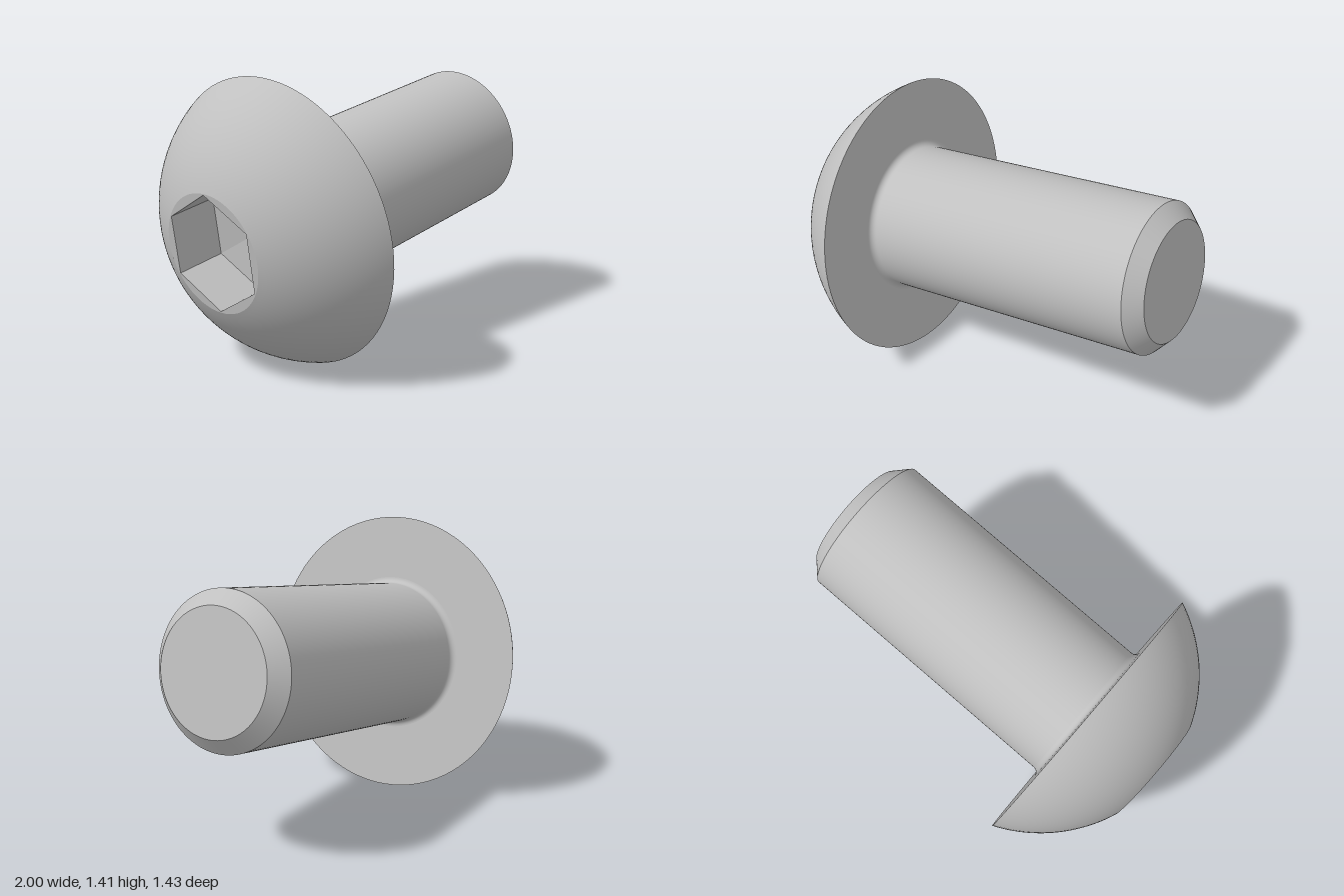
import * as THREE from 'three';

const HEAD_R = 0.716, HEAD_H = 0.417, FLAT_R = 0.29, HEX_R = 0.284;
const SHANK_R = 0.369, FILLET = 0.03, LENGTH = 1.511, CHAMFER = 0.074;

export function createModel() {
  const steel = new THREE.MeshStandardMaterial({ color: 0xc0c0c0 });
  steel.name = 'plain steel';

  // Local frame: +y runs along the screw to its tip, y = 0 is the underside of the head
  const screw = new THREE.Group();
  screw.name = 'screw';
  const add = (name, geometry) => {
    const mesh = new THREE.Mesh(geometry, steel);
    mesh.name = name;
    screw.add(mesh);
  };
  const turned = (name, points) =>
    add(name, new THREE.LatheGeometry(points.map(([r, y]) => new THREE.Vector2(r, y)), 96));
  const arc = (cr, cy, radius, from, to, n) => Array.from({ length: n + 1 }, (_, i) => {
    const a = from + (to - from) * i / n;
    return [cr + radius * Math.cos(a), cy + radius * Math.sin(a)];
  });

  // Domed head: a sphere zone centred on the axis, from the flat top to the rim
  const c = (HEAD_R ** 2 - FLAT_R ** 2 - HEAD_H ** 2) / (2 * HEAD_H);
  turned('headDome', arc(0, c, Math.hypot(HEAD_R, c),
    Math.atan2(-HEAD_H - c, FLAT_R), Math.atan2(-c, HEAD_R), 24));

  // Flat top of the head with the hexagonal opening
  const top = new THREE.Shape().absarc(0, 0, FLAT_R, 0, Math.PI * 2);
  const hex = new THREE.Path();
  hex.setFromPoints(Array.from({ length: 6 }, (_, i) => {
    const a = -i * Math.PI / 3;
    return new THREE.Vector2(HEX_R * Math.sin(a), HEX_R * Math.cos(a));
  }));
  hex.closePath();
  top.holes.push(hex);
  add('headTop', new THREE.ShapeGeometry(top, 48).rotateX(Math.PI / 2));
  screw.children[screw.children.length - 1].position.y = -HEAD_H;

  // Socket floor and its six walls, facing inward
  const floorY = -HEAD_H + 0.261;
  const socket = new THREE.LatheGeometry([
    new THREE.Vector2(0, floorY + 0.04),
    new THREE.Vector2(HEX_R, floorY),
    new THREE.Vector2(HEX_R, -HEAD_H),
  ], 6).toNonIndexed();
  socket.computeVertexNormals();
  add('hexSocket', socket);

  // Underside, fillet, shank, chamfer and tip
  turned('headUnderside', [[HEAD_R, 0], [SHANK_R + FILLET, 0]]);
  turned('shankFillet', arc(SHANK_R + FILLET, FILLET, FILLET, -Math.PI / 2, -Math.PI, 8));
  turned('shank', [[SHANK_R, FILLET], [SHANK_R, LENGTH - CHAMFER]]);
  turned('tipChamfer', [[SHANK_R, LENGTH - CHAMFER], [SHANK_R - CHAMFER, LENGTH]]);
  turned('tipFace', [[SHANK_R - CHAMFER, LENGTH], [0, LENGTH]]);

  // Lay the screw along its tilted axis, with a socket corner upward
  const axis = new THREE.Vector3(1, 0.157, -0.089).normalize();
  const up = new THREE.Vector3(0, 1, 0).addScaledVector(axis, -axis.y).normalize();
  const side = new THREE.Vector3().crossVectors(axis, up);
  screw.quaternion.setFromRotationMatrix(new THREE.Matrix4().makeBasis(side, axis, up));
  screw.position.set(-0.535, 0.708, 0);

  const model = new THREE.Group();
  model.name = 'buttonHeadScrew';
  model.add(screw);
  return model;
}
